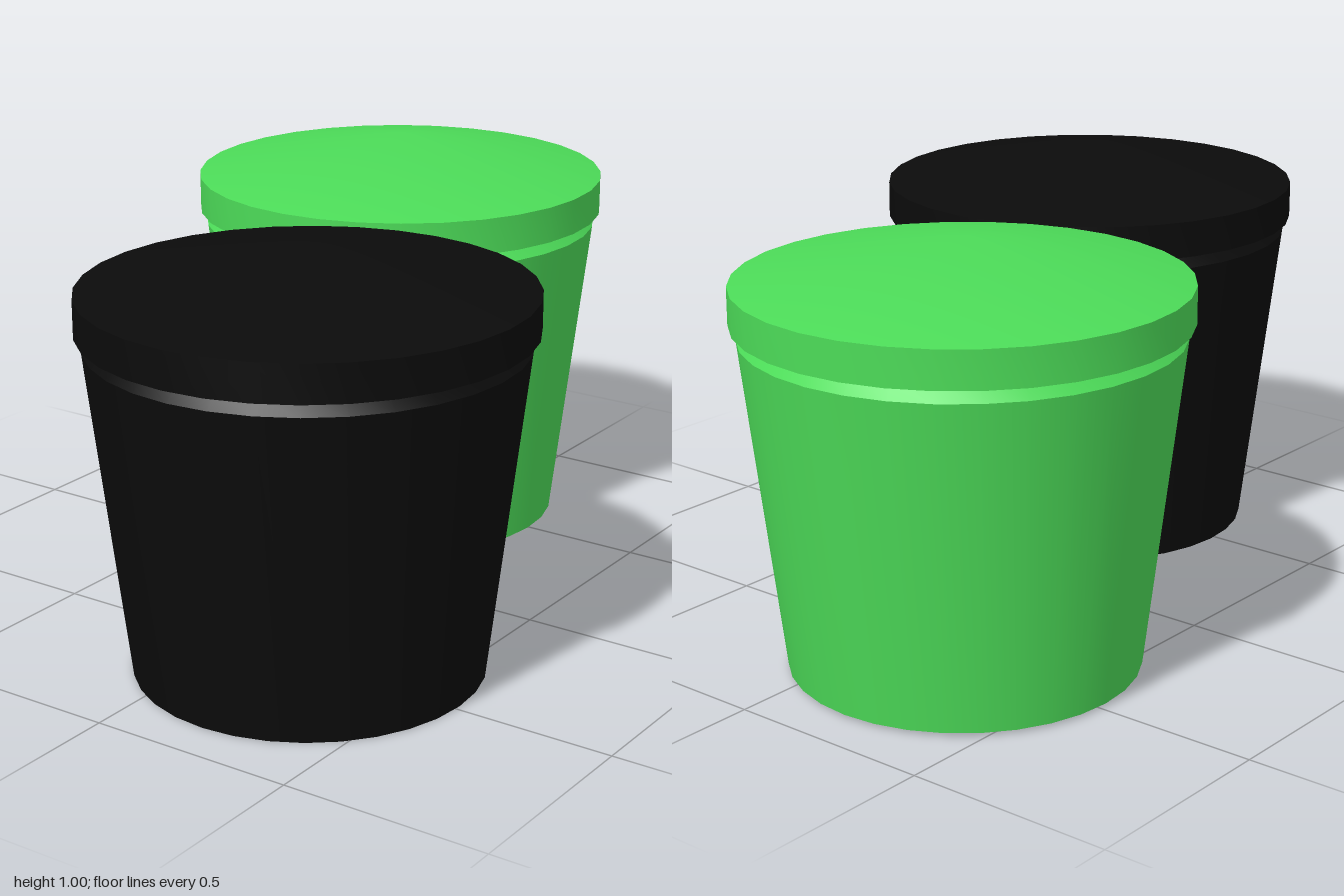
import * as THREE from 'three';
import { toCreasedNormals } from 'three/addons/utils/BufferGeometryUtils.js';

const SIDES = 32;

// Revolve a profile of [radius, height] pairs, keeping its rims sharp
function turned(name, profile, material) {
  const points = profile.map(([r, y]) => new THREE.Vector2(r, y));
  const geometry = toCreasedNormals(new THREE.LatheGeometry(points, SIDES), 0.4);
  const mesh = new THREE.Mesh(geometry, material);
  mesh.name = name;
  return mesh;
}

function createBin(name, color, x, y, z) {
  const material = new THREE.MeshStandardMaterial({ color });
  const bin = new THREE.Group();
  bin.name = name;

  // Tapered tub with a shoulder that narrows under the lid
  bin.add(turned('tub', [[0, 0], [0.407, 0], [0.5, 0.777], [0.468, 0.81], [0, 0.81]], material));

  // Overhanging lid with a shallow conical top
  bin.add(turned('lid', [[0, 0.81], [0.516, 0.81], [0.516, 0.898], [0, 0.998]], material));

  bin.position.set(x, y, z);
  return bin;
}

export function createModel() {
  const model = new THREE.Group();
  model.name = 'bins';
  model.add(createBin('blackBin', 0x0b0b0b, 0.2, 0, 0.484));
  model.add(createBin('greenBin', 0x4cdb58, -0.2, 0.007, -0.484));
  return model;
}
